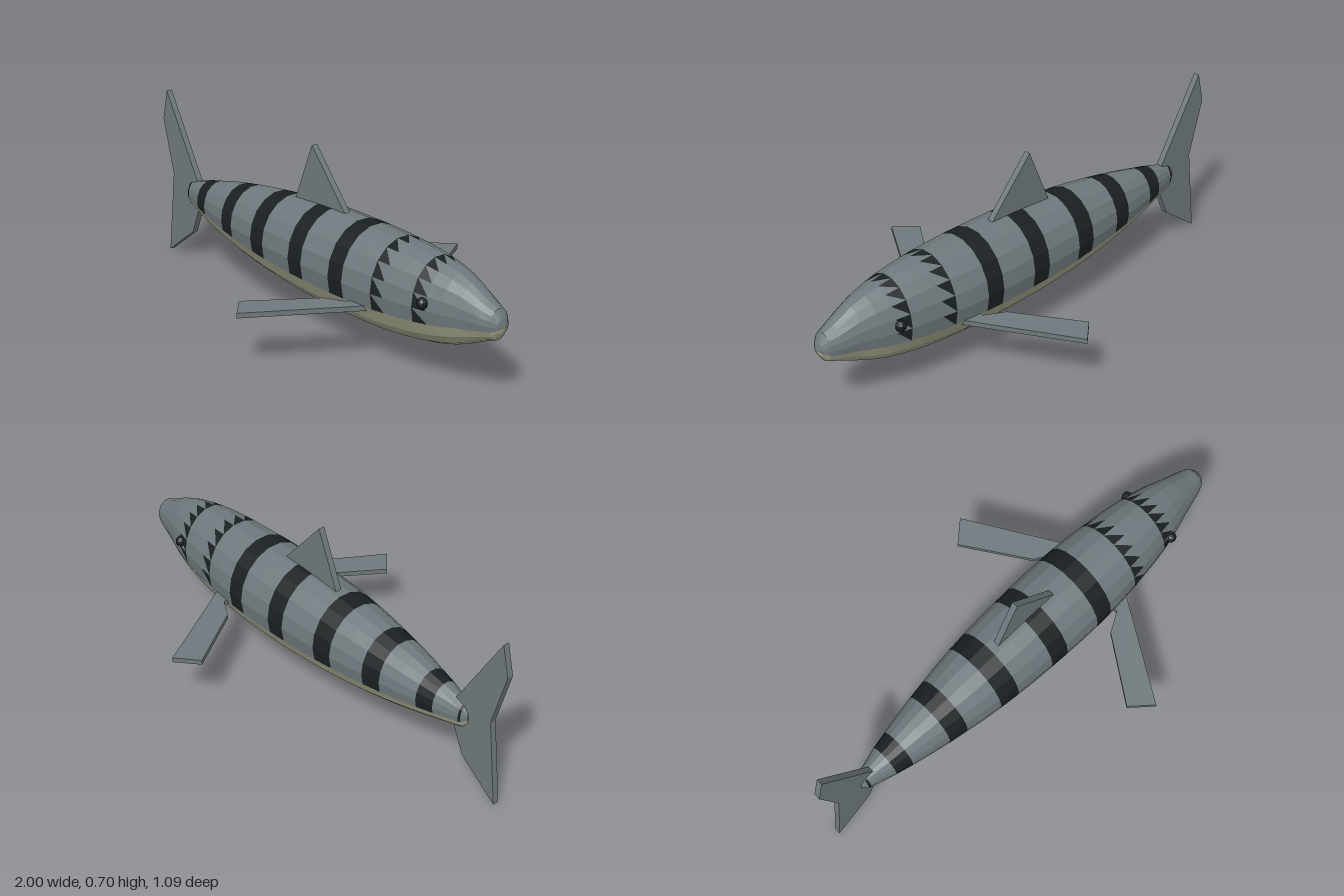
import * as THREE from 'three';

const paint = (color) => new THREE.MeshStandardMaterial({ color, flatShading: true });
const grey = paint(0x6e787c);
const black = paint(0x1a2022);
const cream = paint(0xa3a38a);

// Body rings from tail to nose: x, top, bottom, half width
const RINGS = [
  [-0.835, 0.305, 0.305, 0], [-0.83, 0.33, 0.275, 0.016], [-0.81, 0.35, 0.25, 0.032],
  [-0.8, 0.353, 0.245, 0.035], [-0.7, 0.38, 0.22, 0.064], [-0.63, 0.395, 0.202, 0.08],
  [-0.55, 0.413, 0.183, 0.097], [-0.47, 0.428, 0.167, 0.112], [-0.39, 0.441, 0.153, 0.125],
  [-0.31, 0.452, 0.142, 0.138], [-0.235, 0.461, 0.133, 0.147], [-0.15, 0.469, 0.123, 0.155],
  [-0.065, 0.475, 0.116, 0.161], [0.02, 0.48, 0.11, 0.165], [0.1, 0.483, 0.108, 0.168],
  [0.18, 0.484, 0.106, 0.17], [0.26, 0.484, 0.106, 0.17], [0.335, 0.484, 0.107, 0.168],
  [0.4, 0.482, 0.108, 0.164], [0.48, 0.48, 0.111, 0.157], [0.54, 0.477, 0.116, 0.15],
  [0.61, 0.471, 0.124, 0.141], [0.67, 0.463, 0.134, 0.131], [0.73, 0.453, 0.146, 0.118],
  [0.79, 0.439, 0.164, 0.102], [0.85, 0.417, 0.187, 0.082], [0.93, 0.374, 0.225, 0.061],
  [0.97, 0.358, 0.24, 0.046], [0.99, 0.328, 0.268, 0.026], [1, 0.295, 0.295, 0],
];
const STRIPES = [-0.81, -0.7, -0.47, -0.235, 0.02, 0.26]; // solid bands start here
const TEETH = [0.48, 0.67]; // sawtooth bands start here
const SIDES = 18;
const BACK_SIDES = 11; // the rest of each ring is belly

function ringPoint(i, j) {
  const [x, top, bottom, half] = RINGS[i];
  const a = THREE.MathUtils.degToRad(-20 + (360 / SIDES) * j);
  return [x, (top + bottom) / 2 + ((top - bottom) / 2) * Math.sin(a), half * Math.cos(a)];
}

// The skin is sorted triangle by triangle into back, stripes and belly
function makeBody() {
  const skins = { back: [], stripes: [], belly: [] };
  for (let i = 0; i < RINGS.length - 1; i++) {
    const x = RINGS[i][0];
    for (let j = 0; j < SIDES; j++) {
      const isBelly = j >= BACK_SIDES;
      const solid = STRIPES.includes(x);
      const first = isBelly ? 'belly' : solid || TEETH.includes(x) ? 'stripes' : 'back';
      const second = isBelly ? 'belly' : solid ? 'stripes' : 'back';
      const a = ringPoint(i, j), b = ringPoint(i + 1, j);
      const c = ringPoint(i + 1, j + 1), d = ringPoint(i, j + 1);
      skins[first].push(...a, ...b, ...d);
      skins[second].push(...b, ...c, ...d);
    }
  }
  const body = new THREE.Group();
  body.name = 'body';
  const materials = { back: grey, stripes: black, belly: cream };
  for (const [name, points] of Object.entries(skins)) {
    const geometry = new THREE.BufferGeometry();
    geometry.setAttribute('position', new THREE.Float32BufferAttribute(points, 3));
    geometry.computeVertexNormals();
    const mesh = new THREE.Mesh(geometry, materials[name]);
    mesh.name = name;
    body.add(mesh);
  }
  return body;
}

// Flat plate with an outline, centred on its own thickness
function makeFin(name, outline, depth) {
  const shape = new THREE.Shape(outline.map(([x, y]) => new THREE.Vector2(x, y)));
  const geometry = new THREE.ExtrudeGeometry(shape, { depth, bevelEnabled: false });
  geometry.translate(0, 0, -depth / 2);
  const fin = new THREE.Mesh(geometry, grey);
  fin.name = name;
  return fin;
}

export function createModel() {
  const model = new THREE.Group();
  model.name = 'stripedFish';
  model.add(makeBody());

  model.add(makeFin('dorsalFin', [[-0.13, 0.44], [0.19, 0.46], [-0.02, 0.7]], 0.025));
  model.add(makeFin('tailFin', [
    [-0.97, 0.705], [-1, 0.58], [-0.937, 0.35], [-0.98, 0],
    [-0.81, 0.125], [-0.76, 0.24], [-0.76, 0.35],
  ], 0.025));

  // Swept side fins and eyes, mirrored across the body
  for (const side of [1, -1]) {
    const label = side > 0 ? 'Front' : 'Back';
    const outline = [[0.205, 0.545], [0.12, 0.47], [0.29, 0.215], [0.37, 0.17], [0.37, 0.13], [0.455, 0.13]];
    const fin = makeFin('sideFin' + label, outline.map(([x, z]) => [x, z * side]), 0.02);
    fin.rotation.x = Math.PI / 2;
    fin.position.y = 0.225;
    model.add(fin);

    const eye = new THREE.Mesh(new THREE.SphereGeometry(0.022, 10, 8), black);
    eye.name = 'eye' + label;
    eye.position.set(0.715, 0.325, 0.12 * side);
    model.add(eye);
  }
  return model;
}
